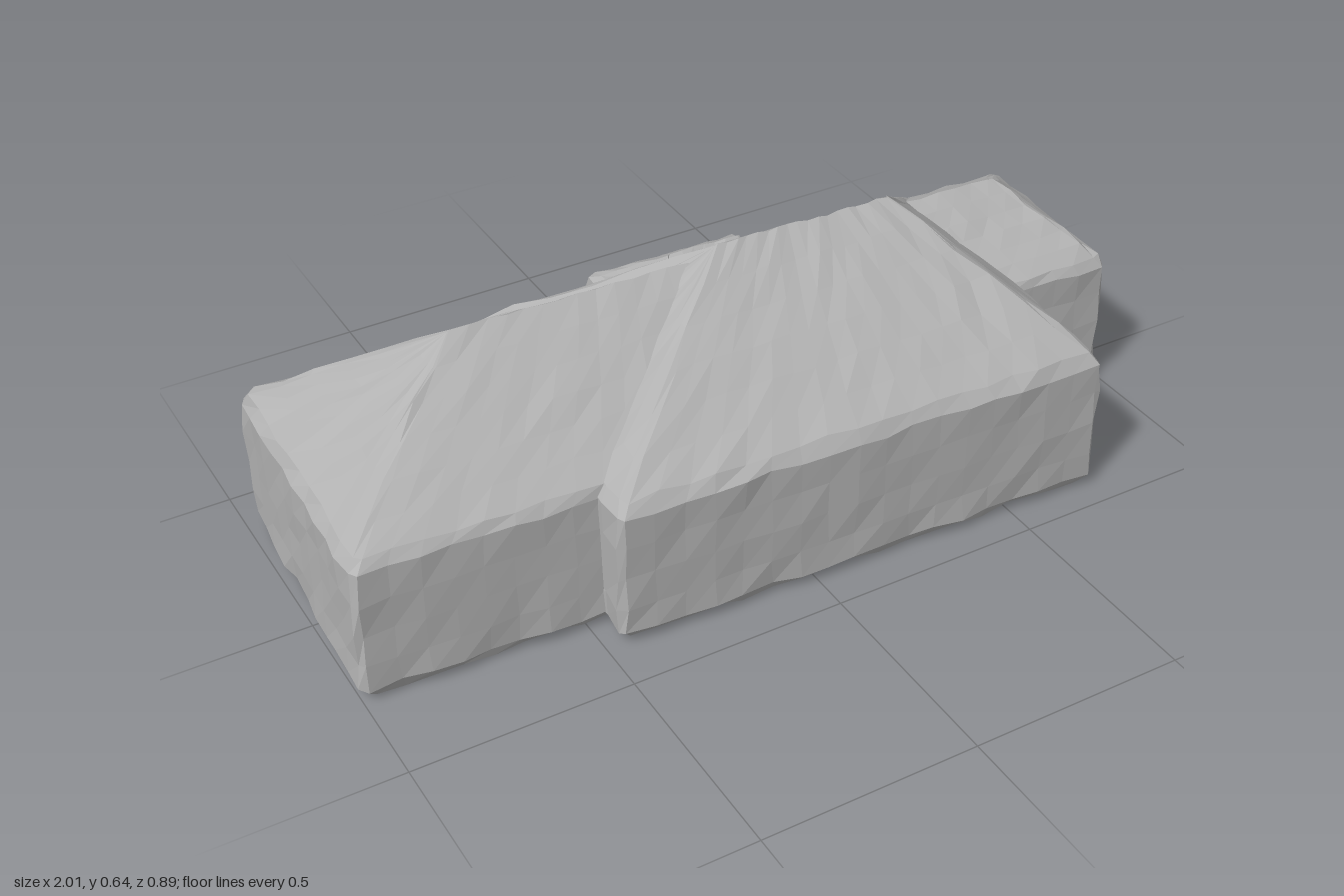
import * as THREE from 'three';

const stone = new THREE.MeshStandardMaterial({ color: 0xb2b2b2, flatShading: true });
stone.name = 'plain grey';

const EAVE = 0.35;   // height where walls meet the roof
const CHAMFER = 0.014;

// repeatable noise in -1..1 from a position
function noise(x, y, z, seed) {
  const s = Math.sin(x * 127.1 + y * 311.7 + z * 74.7 + seed * 19.3) * 43758.5453;
  return (s - Math.floor(s)) * 2 - 1;
}

// A hip-roofed block: rings rise up the walls, then narrow to the ridge line
function hipBlock(name, { x0, x1, z0, z1, r0, r1, rz, ry }) {
  const corners = [[x0, z1], [x1, z1], [x1, z0], [x0, z0]];
  const ridge = [r0, r1, r1, r0];

  // points round the plan, with the corner each one leans to on the ridge
  const plan = [];
  corners.forEach(([ax, az], k) => {
    const [bx, bz] = corners[(k + 1) % 4];
    const length = Math.hypot(bx - ax, bz - az);
    const steps = Math.ceil(length / 0.07);
    for (let i = 0; i <= steps; i++) {
      const u = THREE.MathUtils.lerp(CHAMFER / length, 1 - CHAMFER / length, i / steps);
      plan.push({
        x: ax + (bx - ax) * u, z: az + (bz - az) * u,
        rx: THREE.MathUtils.lerp(ridge[k], ridge[(k + 1) % 4], u),
        edge: i === 0 || i === steps,
      });
    }
  });

  // each level: height, lean towards the ridge, roughness
  const levels = [
    [0.01, 0.05, 0.006], [0.035, 0, 0.006], [0.1, 0, 0.003], [0.18, 0, 0.003],
    [0.26, 0, 0.003], [0.335, 0, 0.005],
  ];
  for (const t of [0.05, 0.2, 0.36, 0.52, 0.68, 0.84, 1]) {
    levels.push([EAVE + (ry - EAVE) * t, t, t === 0.05 ? 0.005 : 0.003]);
  }

  const position = [], index = [], n = plan.length;
  for (const [y, t, rough] of levels) {
    for (const p of plan) {
      const x = THREE.MathUtils.lerp(p.x, p.rx, t);
      const z = THREE.MathUtils.lerp(p.z, rz, t);
      const a = p.edge && t < 1 ? 0.005 : rough;
      position.push(
        x + a * noise(x, y, z, 1),
        Math.max(0, y + a * noise(x, y, z, 2)),
        z + a * noise(x, y, z, 3));
    }
  }
  for (let j = 0; j < levels.length - 1; j++) {
    for (let i = 0; i < n; i++) {
      const a = j * n + i, b = j * n + (i + 1) % n;
      index.push(a, b, b + n, a, b + n, a + n);
    }
  }
  // underside
  const centre = position.length / 3;
  position.push((x0 + x1) / 2, 0.01, (z0 + z1) / 2);
  for (let i = 0; i < n; i++) index.push(centre, (i + 1) % n, i);

  const geometry = new THREE.BufferGeometry();
  geometry.setAttribute('position', new THREE.Float32BufferAttribute(position, 3));
  geometry.setIndex(index);
  geometry.computeVertexNormals();
  const mesh = new THREE.Mesh(geometry, stone);
  mesh.name = name;
  return mesh;
}

export function createModel() {
  const model = new THREE.Group();
  model.name = 'house';

  const building = new THREE.Group();
  building.name = 'building';
  building.rotation.y = -0.037; // the house stands slightly askew
  building.add(
    hipBlock('mainBlock',
      { x0: -0.455, x1: 0.735, z0: -0.39, z1: 0.41, r0: -0.02, r1: 0.41, rz: 0.005, ry: 0.643 }),
    hipBlock('longWing',
      { x0: -0.99, x1: 0.1, z0: -0.36, z1: 0.32, r0: -0.63, r1: 0.05, rz: -0.015, ry: 0.605 }),
    hipBlock('shortWing',
      { x0: 0.3, x1: 0.985, z0: -0.39, z1: 0.075, r0: 0.32, r1: 0.8, rz: -0.155, ry: 0.505 }),
    hipBlock('backBay',
      { x0: -0.13, x1: 0.25, z0: -0.44, z1: 0, r0: -0.02, r1: 0.16, rz: -0.22, ry: 0.495 }),
  );
  model.add(building);
  return model;
}
